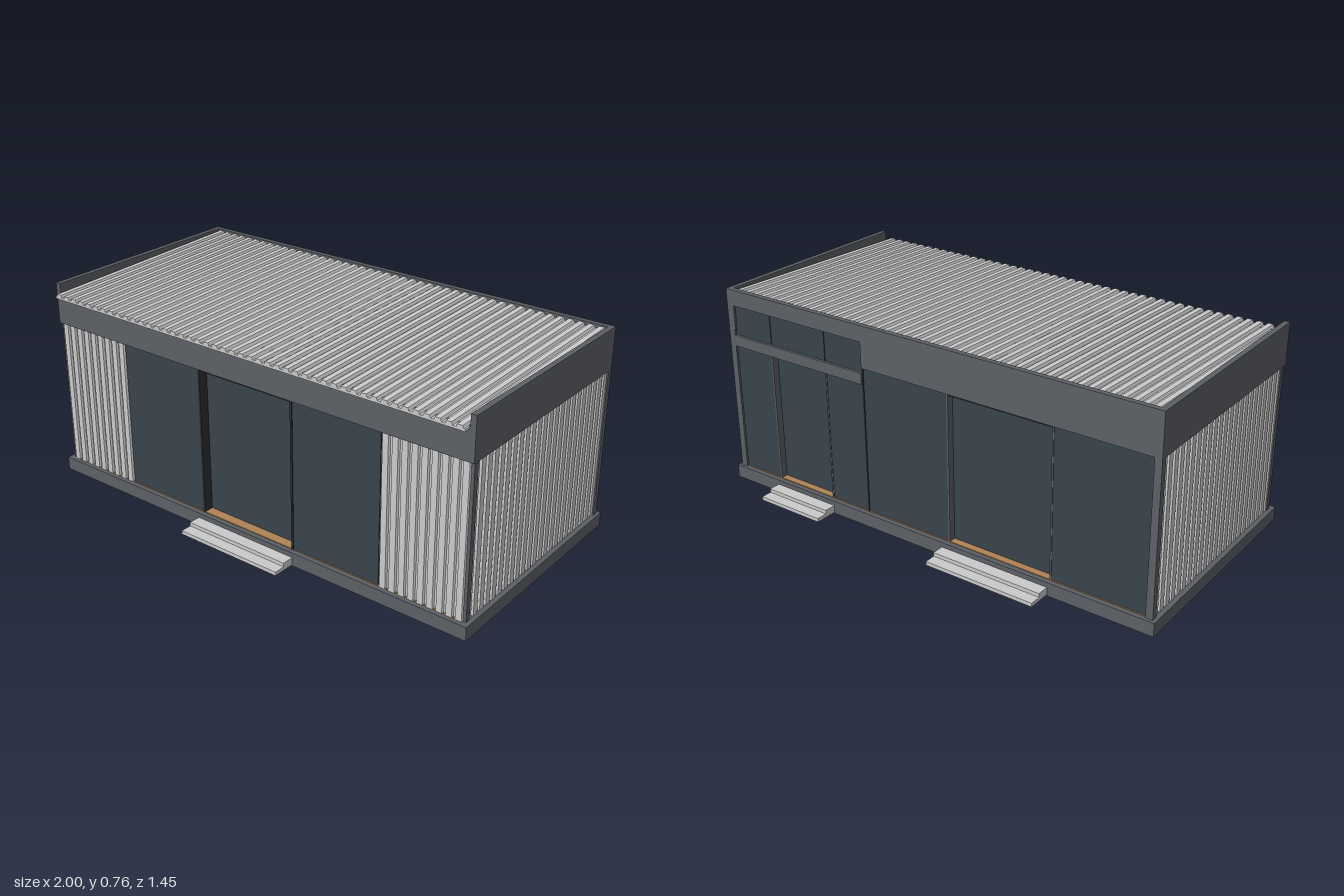
import * as THREE from 'three';

const mat = (color) => new THREE.MeshStandardMaterial({ color });
const M = {
  frame: mat(0x5c6066), dark: mat(0x2a2d30), glass: mat(0x3a444c),
  metal: mat(0xcccccc), wood: mat(0xb08455), under: mat(0x6b5638),
};

export function createModel() {
  const model = new THREE.Group();
  const cabin = new THREE.Group();
  cabin.name = 'cabin';
  cabin.rotation.y = -THREE.MathUtils.degToRad(20);
  cabin.position.z = -0.003;
  model.add(cabin);

  // Box given by its min and max on each axis
  const box = (name, material, x0, x1, y0, y1, z0, z1) => {
    const mesh = new THREE.Mesh(new THREE.BoxGeometry(x1 - x0, y1 - y0, z1 - z0), material);
    mesh.position.set((x0 + x1) / 2, (y0 + y1) / 2, (z0 + z1) / 2);
    mesh.name = name;
    cabin.add(mesh);
    return mesh;
  };

  // Ribbed sheet: trapezoid ribs along x, raised in +y, extruded along z
  const ribbed = (width, length, pitch, height, crest) => {
    const n = Math.round(width / pitch), p = width / n;
    const s = new THREE.Shape();
    s.moveTo(-width / 2, -0.008);
    s.lineTo(width / 2, -0.008);
    for (let i = n - 1; i >= 0; i--) {
      const x = -width / 2 + i * p, valley = p * (1 - crest) / 2;
      s.lineTo(x + p, 0);
      s.lineTo(x + p - valley * 0.6, 0);
      s.lineTo(x + p - valley, height);
      s.lineTo(x + valley, height);
      s.lineTo(x + valley * 0.6, 0);
      s.lineTo(x, 0);
    }
    return new THREE.ExtrudeGeometry(s, { depth: length, bevelEnabled: false });
  };

  // Upright cladding, facing -z before the turn
  const cladding = (name, width, x, z, turn) => {
    const mesh = new THREE.Mesh(ribbed(width, 0.56, 0.036, 0.008, 0.62), M.metal);
    mesh.geometry.rotateX(-Math.PI / 2);
    mesh.position.set(x, 0.05, z);
    mesh.rotation.y = turn;
    mesh.name = name;
    cabin.add(mesh);
  };

  // Base frame, floor and feet
  const BX = 0.903, BZ = 0.443;
  for (const s of [-1, 1]) {
    const z = s * (BZ - 0.0175), x = s * (BX - 0.0175);
    box('baseLongBeam', M.frame, -BX, BX, 0, 0.05, z - 0.0175, z + 0.0175);
    box('baseEndBeam', M.frame, x - 0.0175, x + 0.0175, 0, 0.05, -BZ + 0.035, BZ - 0.035);
  }
  box('floorUnderside', M.under, -0.868, 0.868, 0.022, 0.035, -0.408, 0.408);
  box('floor', M.wood, -0.87, 0.87, 0.035, 0.053, -0.425, 0.425);
  for (const [x, z] of [[0, 0], [-0.85, -0.39], [-0.85, 0.39], [0.85, -0.39], [0.85, 0.39]])
    box('foot', M.metal, x - 0.01, x + 0.01, 0, 0.022, z - 0.01, z + 0.01);

  // End walls with fascia and corner posts
  const FX = 0.891, FZ = 0.431;
  for (const s of [-1, 1]) {
    cladding('endCladding', 0.84, s * (FX - 0.013), 0, -s * Math.PI / 2);
    const x = s * (FX - 0.01);
    box('endFascia', M.frame, x - 0.01, x + 0.01, 0.605, 0.76, -FZ, FZ);
    const px = s * (FX - 0.013);
    box('backCornerPost', M.frame, px - 0.013, px + 0.013, 0.05, 0.605, -FZ, -FZ + 0.022);
    box('frontCornerPost', M.frame, px - 0.01, px + 0.01, 0.05, 0.605, FZ - 0.03, FZ - 0.01);
    cladding('frontCladding', 0.325, s * 0.719, FZ - 0.012, Math.PI);
  }

  // Front fascia, side windows and recessed doorway
  box('frontFascia', M.frame, -FX + 0.02, FX - 0.02, 0.605, 0.72, FZ - 0.02, FZ);
  for (const s of [-1, 1]) {
    const c = s * 0.378;
    box('frontWindow', M.glass, c - 0.178, c + 0.178, 0.05, 0.605, FZ - 0.03, FZ - 0.008);
    box('frontDoorJamb', M.dark, s * 0.202 - 0.004, s * 0.202 + 0.004, 0.05, 0.605, FZ - 0.045, FZ - 0.005);
  }
  box('frontDoor', M.glass, -0.2, 0.2, 0.053, 0.605, FZ - 0.055, FZ - 0.042);
  box('frontDoorHead', M.dark, -0.2, 0.2, 0.597, 0.605, FZ - 0.045, FZ - 0.008);

  // Back fascia, stepped up over the tall window bay
  box('backFascia', M.frame, -FX + 0.02, 0.26, 0.605, 0.76, -FZ, -FZ + 0.02);
  box('backFasciaOverBay', M.frame, 0.26, FX - 0.02, 0.70, 0.76, -FZ, -FZ + 0.02);
  box('bayEndTrim', M.frame, 0.86, FX - 0.02, 0.605, 0.70, -FZ, -FZ + 0.02);
  box('bayTransom', M.frame, 0.26, 0.865, 0.545, 0.587, -FZ - 0.002, -FZ + 0.02);

  // Back glazing: [x0, x1, top]
  for (const [x0, x1, top] of [[-0.865, -0.51, 0.605], [-0.10, 0.26, 0.605], [0.26, 0.43, 0.55], [0.69, 0.865, 0.55]])
    box('backWindow', M.glass, x0, x1, 0.05, top, -FZ + 0.008, -FZ + 0.03);
  for (const [x0, x1] of [[0.26, 0.43], [0.433, 0.687], [0.69, 0.865]])
    box('upperBayWindow', M.glass, x0, x1, 0.585, 0.70, -FZ + 0.008, -FZ + 0.02);
  box('bayMullion', M.dark, 0.257, 0.263, 0.05, 0.605, -FZ + 0.005, -FZ + 0.03);

  // Back doors, recessed between jambs
  for (const [x0, x1, top] of [[-0.51, -0.10, 0.605], [0.43, 0.69, 0.55]]) {
    box('backDoor', M.glass, x0, x1, 0.053, top, -FZ + 0.032, -FZ + 0.045);
    box('backDoorHead', M.dark, x0, x1, top - 0.008, top, -FZ + 0.008, -FZ + 0.035);
    for (const x of [x0, x1])
      box('backDoorJamb', M.frame, x - 0.003, x + 0.003, 0.05, top, -FZ + 0.006, -FZ + 0.035);
  }

  // Two-tread entrance steps: [x0, x1, side]
  for (const [x0, x1, s] of [[-0.215, 0.215, 1], [-0.51, -0.08, -1], [0.412, 0.69, -1]]) {
    const span = (a, b) => (s > 0 ? [a, b] : [-b, -a]);
    box('upperStep', M.metal, x0, x1, 0.018, 0.032, ...span(BZ, 0.488));
    box('lowerStep', M.metal, x0, x1, 0.004, 0.018, ...span(BZ, 0.53));
  }

  // Ribbed roof, falling toward the front and overhanging it
  const roof = new THREE.Mesh(ribbed(1.74, 0.87, 0.038, 0.01, 0.5), M.metal);
  roof.geometry.translate(0, 0, -0.435);
  roof.position.set(0, 0.732, 0.02);
  roof.rotation.x = 0.03;
  roof.name = 'roofSheet';
  cabin.add(roof);

  return model;
}
